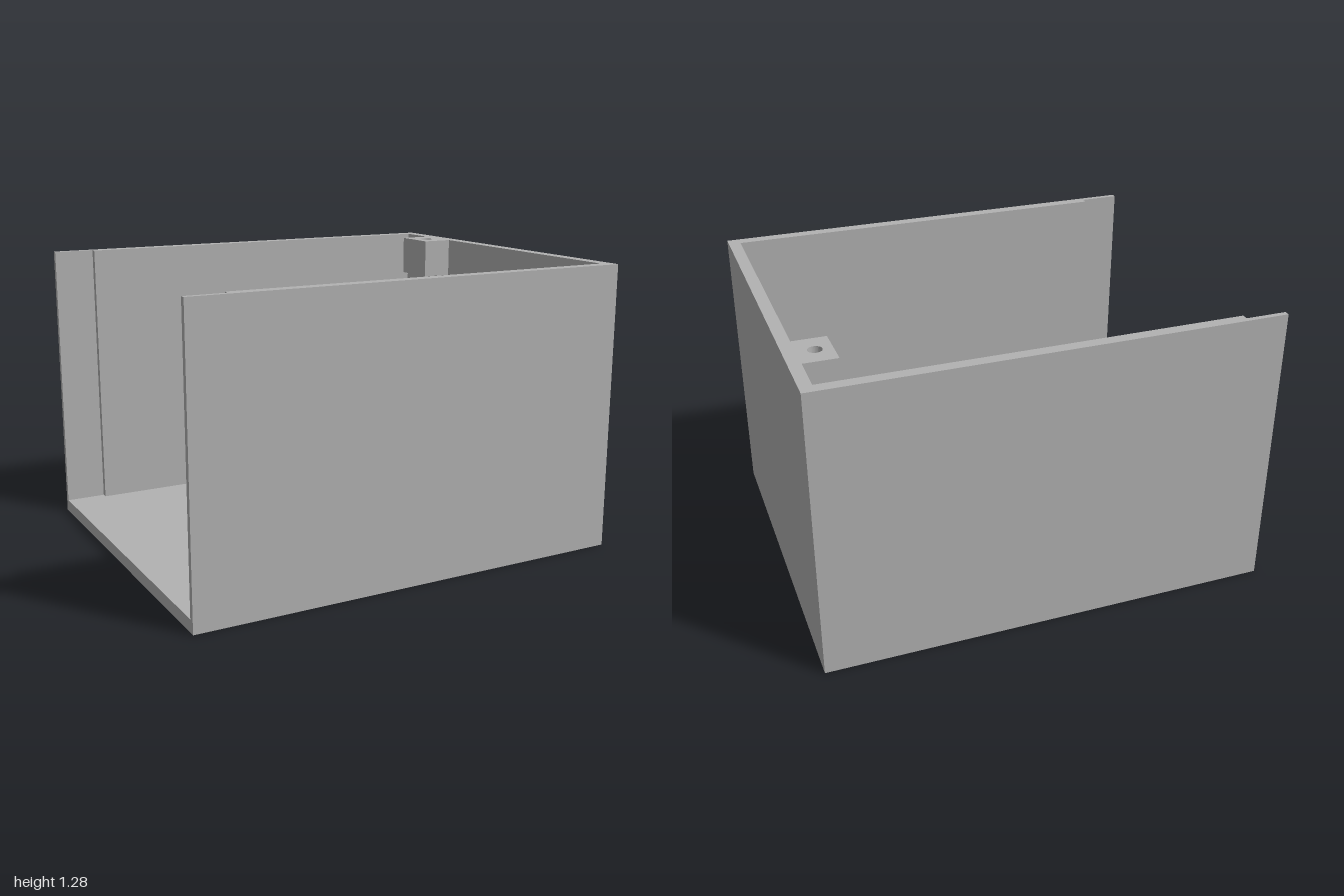
import * as THREE from 'three';

const HX = 1, HZ = 0.82, HEIGHT = 1.28, FLOOR = 0.055;
const INNER_X = 0.947, INNER_Z = 0.768, RECESS_Z = 0.796, RECESS_X = -0.82;

// Extrude a plan outline, given as [x, -z] points, upward from y0 to y1
function prism(points, y0, y1, hole) {
  const shape = new THREE.Shape(points.map(([x, y]) => new THREE.Vector2(x, y)));
  if (hole) {
    const path = new THREE.Path();
    path.absarc(hole.x, hole.y, hole.r, 0, Math.PI * 2, true);
    shape.holes.push(path);
  }
  const geometry = new THREE.ExtrudeGeometry(shape, { depth: y1 - y0, bevelEnabled: false, curveSegments: 16 });
  return geometry.rotateX(-Math.PI / 2).translate(0, y0, 0);
}

export function createModel() {
  const group = new THREE.Group();
  group.name = 'openEnclosure';
  const grey = new THREE.MeshStandardMaterial({ color: 0xb2b2b2 });
  grey.name = 'grey';

  const add = (name, geometry) => {
    const mesh = new THREE.Mesh(geometry, grey);
    mesh.name = name;
    group.add(mesh);
  };

  // Base plate
  add('floor', prism([[-HX, -HZ], [HX, -HZ], [HX, HZ], [-HX, HZ]], 0, FLOOR));

  // Three walls in one outline, thinned at the open end to seat a panel
  add('walls', prism([
    [-HX, -HZ], [HX, -HZ], [HX, HZ], [-HX, HZ],
    [-HX, RECESS_Z], [RECESS_X, RECESS_Z], [RECESS_X, INNER_Z], [INNER_X, INNER_Z],
    [INNER_X, -INNER_Z], [RECESS_X, -INNER_Z], [RECESS_X, -RECESS_Z], [-HX, -RECESS_Z],
  ], FLOOR, HEIGHT));

  // Short screw block on the closed end wall, flush with the rim
  add('screwBlock', prism(
    [[0.803, 0.38], [INNER_X, 0.38], [INNER_X, 0.588], [0.803, 0.588]],
    HEIGHT - 0.18, HEIGHT, { x: 0.874, y: 0.484, r: 0.03 },
  ));

  return group;
}
